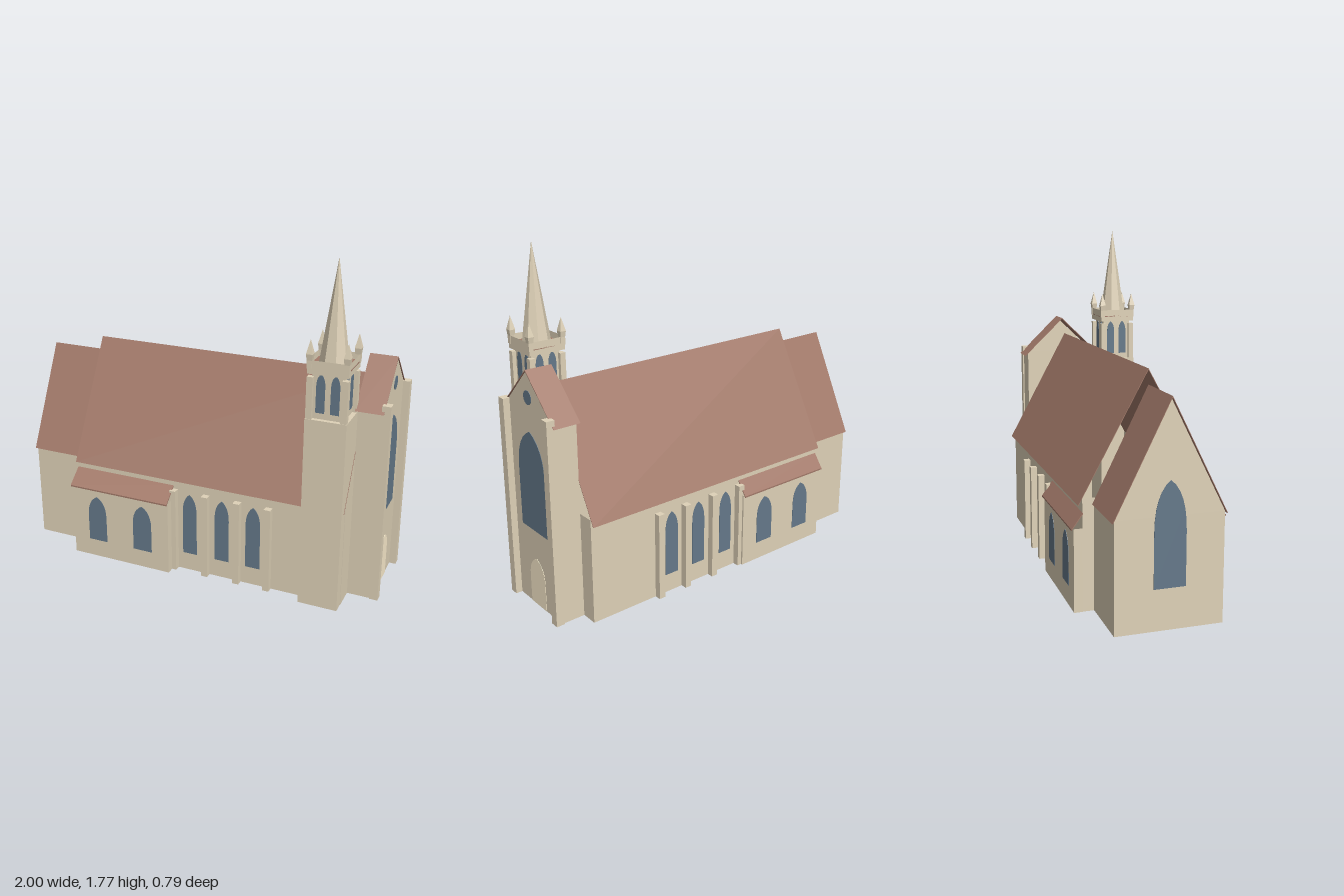
import * as THREE from 'three';

const mat = (color) => new THREE.MeshStandardMaterial({ color, flatShading: true, side: THREE.DoubleSide });

export function createModel() {
  const model = new THREE.Group();
  model.name = 'church';
  const stone = mat(0xdfd2b8), tile = mat(0xa37a6a), glass = mat(0x65798a), cream = mat(0xfff0d0);

  const add = (name, geo, material, x = 0, y = 0, z = 0, ry = 0) => {
    const m = new THREE.Mesh(geo, material);
    m.name = name;
    m.position.set(x, y, z);
    m.rotation.y = ry;
    model.add(m);
    return m;
  };

  // box given by its ranges
  const block = (name, x0, x1, y0, y1, z0, z1, material = stone) =>
    add(name, new THREE.BoxGeometry(x1 - x0, y1 - y0, z1 - z0), material,
      (x0 + x1) / 2, (y0 + y1) / 2, (z0 + z1) / 2);

  // four walls only: the same box without its top and bottom faces
  const walls = (name, x0, x1, y0, y1, z0, z1) => {
    const geo = block(name, x0, x1, y0, y1, z0, z1).geometry;
    const index = Array.from(geo.index.array);
    geo.setIndex([...index.slice(0, 12), ...index.slice(24)]);
    geo.clearGroups();
  };

  // cross-section in (z, y), extruded along x
  const alongX = (name, pts, x0, x1, material, zc = 0) => {
    const shape = new THREE.Shape(pts.map(([z, y]) => new THREE.Vector2(-z, y)));
    const geo = new THREE.ExtrudeGeometry(shape, { depth: x1 - x0, bevelEnabled: false });
    geo.rotateY(Math.PI / 2);
    return add(name, geo, material, x0, 0, zc);
  };

  // thin open gable roof
  const gableRoof = (name, x0, x1, half, eave, ridge, zc = 0) => {
    const t = 0.003;
    alongX(name, [[-half, eave], [0, ridge], [half, eave], [half - t, eave], [0, ridge - 2 * t], [t - half, eave]],
      x0, x1, tile, zc);
  };

  // pointed-arch panel, facing +z before turning by ry
  const arch = (name, half, y0, spring, top, x, z, ry, material = glass) => {
    const s = new THREE.Shape();
    const mid = spring + (top - spring) * 0.75;
    s.moveTo(-half, y0);
    s.lineTo(half, y0);
    s.lineTo(half, spring);
    s.quadraticCurveTo(half, mid, 0, top);
    s.quadraticCurveTo(-half, mid, -half, spring);
    s.closePath();
    const geo = new THREE.ExtrudeGeometry(s, { depth: 0.002, bevelEnabled: false, curveSegments: 6 });
    add(name, geo, material, x, 0, z, ry);
  };

  // nave
  walls('naveWalls', -0.677, 0.835, 0, 0.555, -0.318, 0.318);
  gableRoof('naveRoof', -0.685, 0.835, 0.341, 0.525, 1.15);

  // chancel with its gable end
  const c = 0.262;
  walls('chancelWalls', -0.985, -0.677, 0, 0.535, -c, c);
  alongX('chancelGable', [[-c, 0.535], [c, 0.535], [0, 1.06]], -0.985, -0.982, stone);
  gableRoof('chancelRoof', -0.994, -0.685, 0.273, 0.525, 1.075);
  arch('chancelWindow', 0.077, 0.2, 0.46, 0.7, -0.985, 0, -Math.PI / 2);

  // both long sides: aisle, windows and buttresses
  for (const s of [1, -1]) {
    const wall = s > 0 ? 0.394 : 0.361;
    const turn = s > 0 ? 0 : Math.PI;
    const [za, zb] = [s * 0.318, s * wall].sort((a, b) => a - b);
    walls('aisleWalls', -0.68, -0.1, 0, 0.412, za, zb);
    const e = wall + 0.012;
    alongX('aisleRoof', [[s * e, 0.405], [s * e, 0.413], [s * 0.318, 0.488], [s * 0.318, 0.48]],
      -0.685, -0.1, tile);
    for (const x of [-0.53, -0.255]) arch('aisleWindow', 0.055, 0.1, 0.25, 0.365, x, s * wall, turn);
    for (const x of [-0.007, 0.178, 0.353]) arch('naveWindow', 0.04, 0.1, 0.34, 0.45, x, s * 0.318, turn);
    for (const x of [-0.093, 0.09, 0.27, 0.44]) {
      const [z0, z1] = [s * 0.318, s * 0.352].sort((a, b) => a - b);
      block('buttress', x - 0.018, x + 0.018, 0, 0.47, z0, z1);
    }
  }

  // entrance front
  const fz = -0.018, fx = 0.962, f = 0.212;
  walls('frontWalls', 0.835, fx, 0, 1.03, fz - f, fz + f);
  alongX('frontGable', [[-f, 1.03], [f, 1.03], [0, 1.24]], fx - 0.003, fx, stone, fz);
  gableRoof('frontRoof', 0.825, 0.967, 0.232, 1.02, 1.245, fz);
  for (const s of [1, -1]) {
    const z = fz + s * 0.197;
    block('frontButtress', 0.953, 0.997, 0, 1.062, z - 0.0225, z + 0.0225);
  }
  arch('greatWindow', 0.118, 0.42, 0.73, 0.94, fx, fz, Math.PI / 2);
  arch('door', 0.07, 0, 0.15, 0.265, fx, fz, Math.PI / 2, cream);
  const rose = new THREE.CylinderGeometry(0.035, 0.035, 0.004, 20);
  rose.rotateZ(Math.PI / 2);
  add('roundWindow', rose, glass, fx, 1.11, fz);

  // tower
  const tx = 0.73, tz = 0.275, h = 0.103;
  walls('towerShaft', tx - h, tx + h, 0, 1.01, tz - h, tz + h);
  block('towerLedge', tx - h, tx + h, 1.006, 1.01, tz - h, tz + h);
  walls('belfry', tx - 0.08, tx + 0.08, 1.01, 1.25, tz - 0.08, tz + 0.08);
  for (let i = 0; i < 4; i++) {
    const a = i * Math.PI / 2;
    for (const d of [-0.036, 0.036]) {
      arch('belfryWindow', 0.022, 1.04, 1.17, 1.233,
        tx + Math.sin(a) * 0.08 + Math.cos(a) * d, tz + Math.cos(a) * 0.08 - Math.sin(a) * d, a);
    }
  }

  // thin parapet around the tiled tower top
  const q = 0.1;
  walls('parapet', tx - q, tx + q, 1.235, 1.302, tz - q, tz + q);
  block('towerRoof', tx - q, tx + q, 1.262, 1.268, tz - q, tz + q, tile);
  block('parapetBase', tx - q, tx + q, 1.235, 1.238, tz - q, tz + q);

  // corner piers with pinnacles
  const pinnacle = new THREE.LatheGeometry(
    [[0, 1.26], [0.018, 1.26], [0.018, 1.3], [0.023, 1.33], [0, 1.4]].map((p) => new THREE.Vector2(...p)), 4);
  pinnacle.rotateY(Math.PI / 4);
  for (const sx of [1, -1]) {
    for (const sz of [1, -1]) {
      const x = tx + sx * 0.086, z = tz + sz * 0.086;
      block('cornerPier', x - 0.015, x + 0.015, 1.01, 1.22, z - 0.015, z + 0.015);
      add('pinnacle', pinnacle, stone, tx + sx * 0.09, 0, tz + sz * 0.09);
    }
  }

  // spire
  const spire = new THREE.ConeGeometry(0.073, 0.502, 8);
  spire.rotateY(Math.PI / 8);
  add('spire', spire, stone, tx, 1.519, tz);

  // the building stands slightly askew
  model.rotation.y = 0.02;
  model.position.z = -0.024;
  const root = new THREE.Group();
  root.add(model);
  return root;
}
